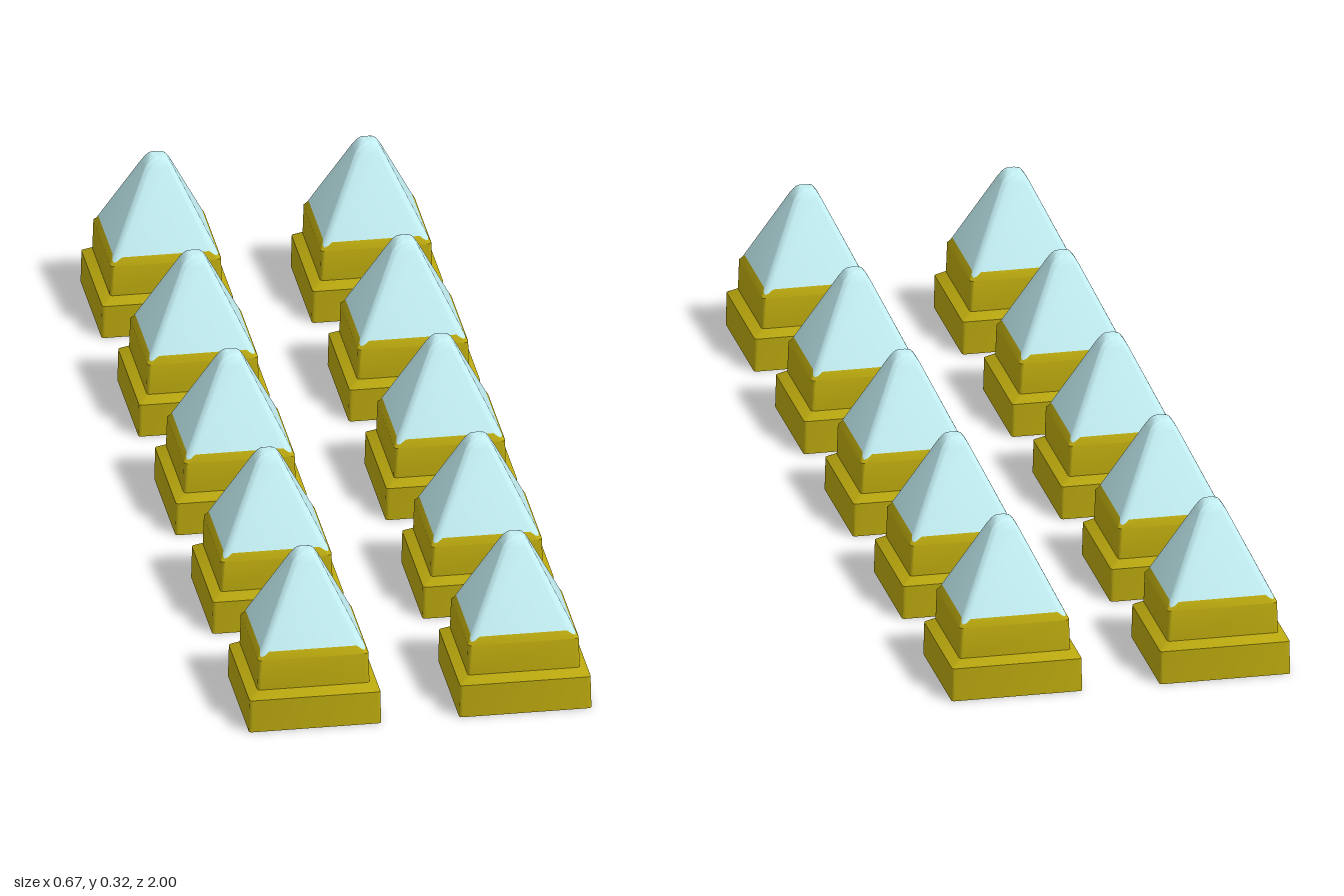
import * as THREE from 'three';
import { toCreasedNormals } from 'three/addons/utils/BufferGeometryUtils.js';

const CORNER_STEPS = 4;

// Square ring with rounded corners: half width, corner radius, height,
// and how far the corners dip down and outwards
function ring([half, radius, y, dip = 0]) {
  const points = [];
  for (let corner = 0; corner < 4; corner++) {
    const mid = Math.PI / 4 + corner * Math.PI / 2;
    const sx = Math.sign(Math.cos(mid));
    const sz = -Math.sign(Math.sin(mid));
    for (let s = 0; s <= CORNER_STEPS; s++) {
      const t = s / CORNER_STEPS;
      const a = (corner + t) * Math.PI / 2;
      const drop = dip * Math.sin(Math.PI * t);
      const c = half - radius + drop * 0.5;
      points.push([sx * c + radius * Math.cos(a), y - drop, sz * c - radius * Math.sin(a)]);
    }
  }
  return points;
}

// Skin a list of rings, optionally closing the last one
function loft(profile, capTop, crease) {
  const rings = profile.map(ring);
  const n = rings[0].length;
  const index = [];
  for (let k = 0; k < rings.length - 1; k++) {
    for (let i = 0; i < n; i++) {
      const a = k * n + i, b = k * n + (i + 1) % n;
      index.push(a, b, b + n, a, b + n, a + n);
    }
  }
  if (capTop) {
    const start = (rings.length - 1) * n;
    for (let i = 1; i < n - 1; i++) index.push(start, start + i, start + i + 1);
  }
  const geometry = new THREE.BufferGeometry();
  geometry.setAttribute('position', new THREE.Float32BufferAttribute(rings.flat(2), 3));
  geometry.setIndex(index);
  return toCreasedNormals(geometry, crease);
}

export function createModel() {
  const model = new THREE.Group();
  model.name = 'pyramidStuds';

  const gold = new THREE.MeshStandardMaterial({ color: 0xb8a60e, side: THREE.DoubleSide });
  const glass = new THREE.MeshStandardMaterial({ color: 0xc2eef2, side: THREE.DoubleSide });

  // Seam shared by the socket and the pyramid
  const seam = [0.1, 0.015, 0.155, 0.01];

  // Thin stepped socket, open below
  const socketGeometry = loft([
    [0.1285, 0.006, 0],
    [0.127, 0.006, 0.066],
    [0.109, 0.006, 0.079],
    [0.1075, 0.008, 0.14],
    seam,
  ], false, 0.55);

  // Hollow pyramid with softened edges and a rounded tip
  const pyramidGeometry = loft([
    seam,
    [0.0275, 0.011, 0.302],
    [0.021, 0.01, 0.313],
    [0.016, 0.009, 0.319],
    [0.009, 0.007, 0.3225],
  ], true, 0.65);

  // Two columns of five studs
  for (const x of [-0.204, 0.204]) {
    for (let row = -2; row <= 2; row++) {
      const stud = new THREE.Group();
      stud.name = 'stud';
      const socket = new THREE.Mesh(socketGeometry, gold);
      socket.name = 'socket';
      const pyramid = new THREE.Mesh(pyramidGeometry, glass);
      pyramid.name = 'pyramid';
      stud.add(socket, pyramid);
      stud.position.set(x, 0, row * 0.436);
      model.add(stud);
    }
  }
  return model;
}
